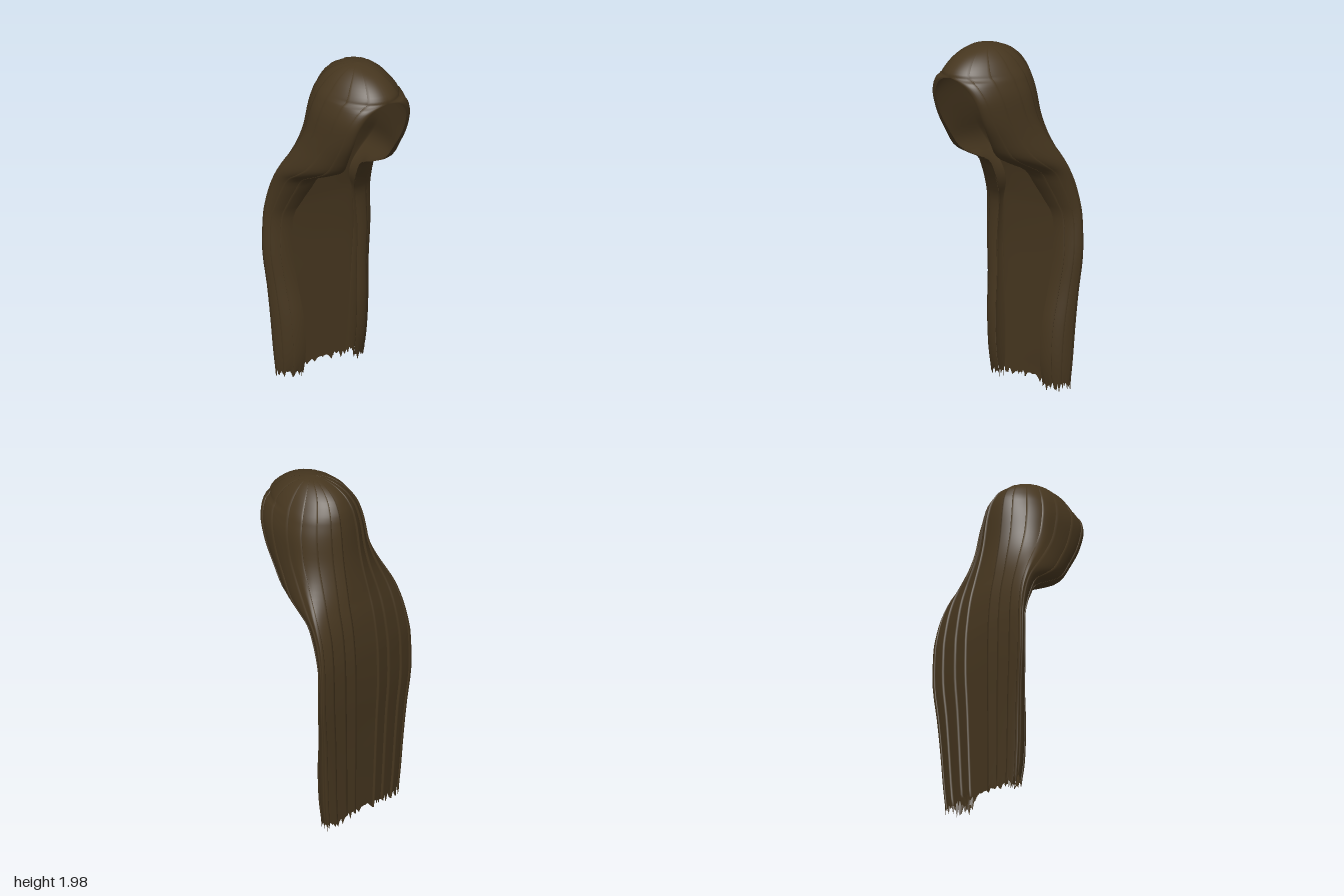
import * as THREE from 'three';

// Horizontal sections from crown to tips:
// y, half width, half opening, front edge z, side z, back z
const SECTIONS = [
  [2.0, 0, 0, 0.07, 0.07, 0.07],
  [1.99, 0.062, 0, 0.14, 0.07, 0.0],
  [1.965, 0.107, 0, 0.22, 0.06, -0.07],
  [1.925, 0.15, 0, 0.285, 0.05, -0.125],
  [1.875, 0.186, 0, 0.333, 0.04, -0.158],
  [1.84, 0.206, 0.055, 0.335, 0.03, -0.172],
  [1.81, 0.218, 0.105, 0.327, 0.025, -0.18],
  [1.76, 0.234, 0.145, 0.31, 0.015, -0.19],
  [1.7, 0.245, 0.165, 0.29, 0, -0.198],
  [1.6, 0.256, 0.17, 0.25, -0.03, -0.21],
  [1.5, 0.274, 0.16, 0.195, -0.09, -0.228],
  [1.4, 0.303, 0.145, 0.13, -0.17, -0.25],
  [1.34, 0.32, 0.145, 0.03, -0.215, -0.263],
  [1.28, 0.33, 0.145, -0.09, -0.25, -0.278],
  [1.2, 0.338, 0.155, -0.145, -0.285, -0.293],
  [1.1, 0.347, 0.18, -0.2, -0.31, -0.305],
  [1.0, 0.353, 0.21, -0.235, -0.322, -0.313],
  [0.8, 0.353, 0.22, -0.23, -0.325, -0.316],
  [0.6, 0.33, 0.2, -0.21, -0.315, -0.31],
  [0.4, 0.314, 0.18, -0.18, -0.305, -0.305],
  [0.2, 0.3, 0.17, -0.177, -0.298, -0.3],
  [0.05, 0.284, 0.17, -0.2, -0.293, -0.297],
];
const LAST = SECTIONS.length - 1;
const ROWS = LAST * 3;
const CLOSED_ROWS = 14; // rows above the face opening
const spline = new THREE.CubicInterpolant(
  SECTIONS.map((_, i) => i), SECTIONS.flat(), 6, new Float32Array(6));

function sectionAt(row) {
  const [y, w, open, front, side, back] = spline.evaluate((row / ROWS) * LAST);
  return { y, w: Math.max(0, w), open: row <= CLOSED_ROWS ? 0 : open, front, side, back };
}

// Inset section for the inside of the hair
function liningAt(row) {
  const s = sectionAt(row);
  const f = THREE.MathUtils.smoothstep(s.y, 1.1, 1.45);
  const narrow = Math.min(s.open + 0.025, s.w * 0.9);
  const dome = THREE.MathUtils.smoothstep(s.y, 1.85, 2);
  return {
    y: s.y - 0.025 * dome,
    w: THREE.MathUtils.lerp(narrow, s.w * 0.92, f),
    open: s.open,
    front: s.front - 0.006 - 0.02 * dome,
    side: s.side + 0.025 * (1 - f),
    back: s.back + 0.025 * Math.min(1, s.w / 0.15),
  };
}

// Point on a section: u = 0 centre back, +-0.5 sides, +-1 front edges
function pointOn(s, u) {
  const a = Math.abs(u) * Math.PI;
  const sign = Math.sign(u);
  if (a <= Math.PI / 2) {
    return [sign * s.w * Math.sin(a), s.side + (s.back - s.side) * Math.cos(a)];
  }
  const b = a - Math.PI / 2;
  return [sign * (s.open + (s.w - s.open) * Math.cos(b)), s.side + (s.front - s.side) * Math.sin(b)];
}

const jag = (n) => {
  const v = Math.sin(n * 91.7 + 3.1) * 437.58;
  return v - Math.floor(v);
};

// Sheet from u0 to u1 with ragged tips; its u0 edge is lifted outward,
// and an extra column folds that edge back down to close the step
function sheet(section, u0, u1, cols, lift) {
  const pos = [], index = [];
  const first = lift ? -1 : 0;
  const stride = cols - first + 1;
  for (let r = 0; r <= ROWS; r++) {
    const s = section(r);
    for (let c = first; c <= cols; c++) {
      const t = Math.max(0, c) / cols, u = u0 + (u1 - u0) * t;
      const [x, z] = pointOn(s, u);
      const [xa, za] = pointOn(s, u - 0.01);
      const [xb, zb] = pointOn(s, u + 0.01);
      const len = Math.hypot(xb - xa, zb - za) || 1;
      const d = c < 0 ? 0 : lift * (1 - t) * Math.min(1, s.w / 0.2);
      const y = r === ROWS ? 0.08 - 0.06 * jag(Math.round(u * 100)) ** 2 : s.y;
      pos.push(x + ((zb - za) / len) * d, y, z - ((xb - xa) / len) * d);
      if (r < ROWS && c < cols) {
        const k = r * stride + c - first, below = k + stride;
        if (u1 > u0) index.push(k, k + 1, below, k + 1, below + 1, below);
        else index.push(k, below, k + 1, k + 1, below, below + 1);
      }
    }
  }
  const geo = new THREE.BufferGeometry();
  geo.setAttribute('position', new THREE.Float32BufferAttribute(pos, 3));
  geo.setIndex(index);
  geo.computeVertexNormals();
  return geo;
}

export function createModel() {
  const model = new THREE.Group();
  model.name = 'longHair';
  const brown = new THREE.MeshStandardMaterial({ color: 0x46361f, side: THREE.DoubleSide });
  brown.name = 'darkBrown';

  const add = (name, geo) => {
    const mesh = new THREE.Mesh(geo, brown);
    mesh.name = name;
    model.add(mesh);
  };

  // Centre back lock, then mirrored locks stepping round to the face
  add('backLock', sheet(sectionAt, -0.08, 0.08, 8, 0));
  const edges = [0.08, 0.16, 0.27, 0.4, 0.53, 0.67, 0.82, 1];
  for (let i = 0; i < edges.length - 1; i++) {
    const a = edges[i], b = edges[i + 1];
    const lift = i < 3 ? 0.012 : 0.006;
    add('leftLock' + (i + 1), sheet(sectionAt, a, b, 7, lift));
    add('rightLock' + (i + 1), sheet(sectionAt, -a, -b, 7, lift));
  }

  // Inside of the hood and front of the back panel
  add('innerHair', sheet(liningAt, -1, 1, 64, 0));
  return model;
}
